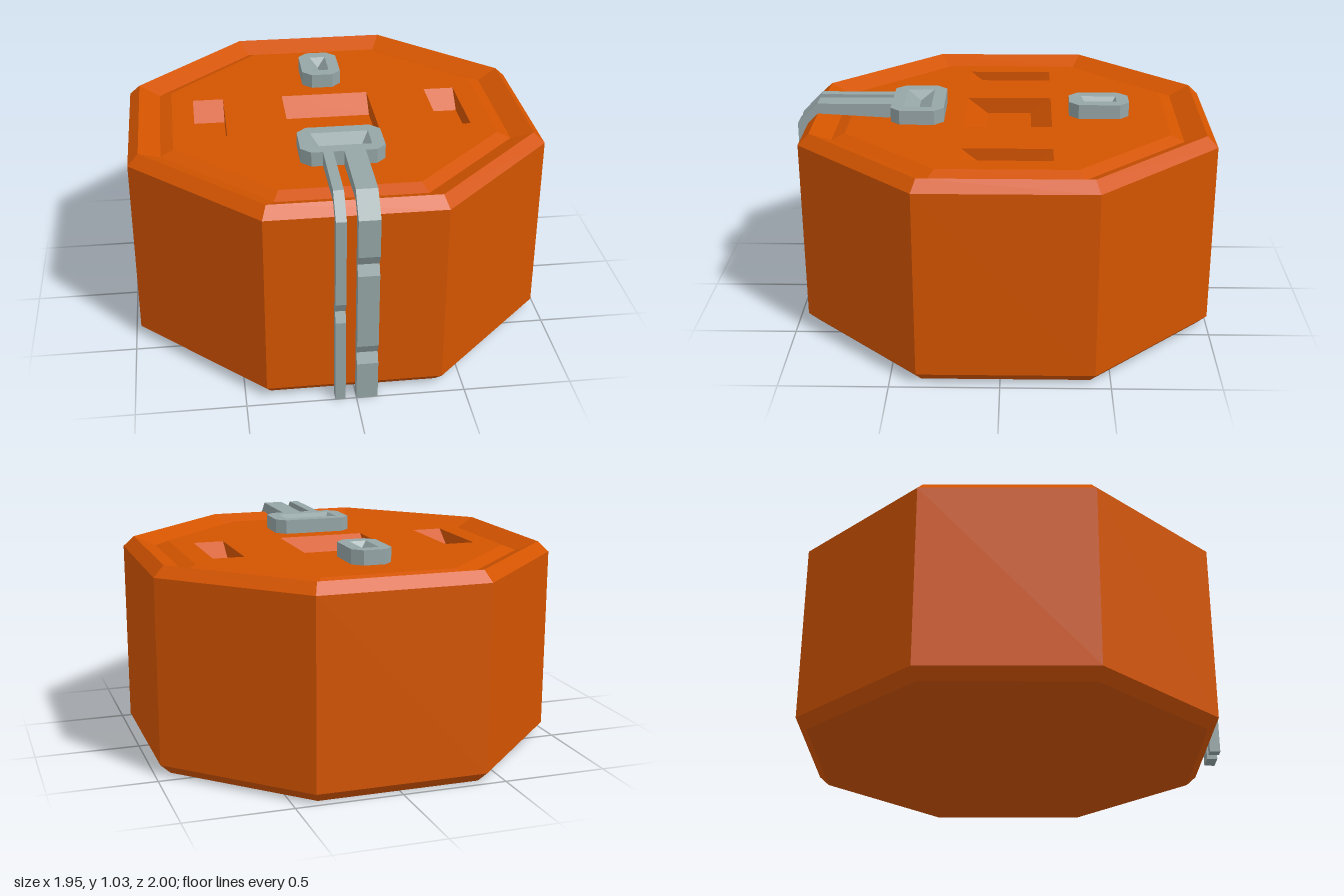
import * as THREE from 'three';

const PANEL_Y = 0.96, TOP_Y = 1.03, CENTER_Z = -0.025;
const SEC = 1 / Math.cos(Math.PI / 8);

// Flat-shaded surface from a list of planar polygons
function faces(polygons) {
  const pos = [];
  for (const p of polygons)
    for (let i = 1; i < p.length - 1; i++) pos.push(...p[0], ...p[i], ...p[i + 1]);
  const g = new THREE.BufferGeometry();
  g.setAttribute('position', new THREE.Float32BufferAttribute(pos, 3));
  g.computeVertexNormals();
  return g;
}

const points = (list) => list.map(([x, y]) => new THREE.Vector2(x, y));
const rect = (cx, hx, hy) => new THREE.Path(points([[cx - hx, -hy], [cx - hx, hy], [cx + hx, hy], [cx + hx, -hy]]));

export function createModel() {
  const model = new THREE.Group();
  const orange = new THREE.MeshStandardMaterial({ color: 0xd35400 });
  orange.name = 'orange';
  const grey = new THREE.MeshStandardMaterial({ color: 0x95a5a6 });
  grey.name = 'grey';
  const add = (name, geometry, material, x = 0, y = 0, z = 0) => {
    const m = new THREE.Mesh(geometry, material);
    m.name = name;
    m.position.set(x, y, z);
    model.add(m);
    return m;
  };

  // Octagonal body with chamfered edges and a groove around the lid
  const profile = [[0, 0], [0.925, 0], [0.975, 0.05], [0.975, 0.93], [0.925, 0.98], [0.825, 0.935], [0.765, PANEL_Y]];
  const body = new THREE.LatheGeometry(points(profile.map(([r, y]) => [r * SEC, y])), 8, Math.PI / 8).toNonIndexed();
  body.computeVertexNormals();
  add('body', body, orange, 0, 0, CENTER_Z);

  // Lid panel with three openings
  const wells = [[-0.585, 0.075], [0, 0.215], [0.585, 0.075]];
  const lid = new THREE.Shape(points(Array.from({ length: 8 }, (_, i) => {
    const a = (i + 0.5) * Math.PI / 4;
    return [0.765 * SEC * Math.cos(a), 0.765 * SEC * Math.sin(a)];
  })));
  for (const [cx, hx] of wells) lid.holes.push(rect(cx, hx, 0.21));
  add('lidPanel', new THREE.ShapeGeometry(lid).rotateX(-Math.PI / 2), orange, 0, PANEL_Y, CENTER_Z);

  // Sunken wells with sloped ends
  for (const [cx, w] of wells) {
    const d = -0.08;
    const side = (x) => [[x, 0, -0.21], [x, 0, 0.21], [x, d, 0.11], [x, d, -0.11]];
    const L = side(-w), R = side(w);
    const well = faces([
      L, [...R].reverse(),
      [L[0], L[3], R[3], R[0]], [L[3], L[2], R[2], R[3]], [L[2], L[1], R[1], R[2]],
    ]);
    add('lidWell', well, orange, cx, PANEL_Y, CENTER_Z);
  }

  // Chamfered plate with a V-shaped recess
  function plate(name, hx, hz, px, pz, ridge, z, turn) {
    const c = 0.045, group = new THREE.Group();
    const outline = new THREE.Shape(points([
      [-hx + c, -hz], [hx - c, -hz], [hx, -hz + c], [hx, hz - c],
      [hx - c, hz], [-hx + c, hz], [-hx, hz - c], [-hx, -hz + c],
    ]));
    outline.holes.push(rect(0, px, pz));
    const h = TOP_Y - PANEL_Y;
    const block = new THREE.ExtrudeGeometry(outline, { depth: h, bevelEnabled: false }).rotateX(-Math.PI / 2);
    const A = [-px, h, -pz], B = [px, h, -pz], C = [px, h, pz], D = [-px, h, pz];
    const E = [-ridge, h - 0.045, 0], F = [ridge, h - 0.045, 0];
    const pit = faces([[A, E, F, B], [C, F, E, D], [D, E, A], [B, F, C]]);
    for (const [part, g] of [['Block', block], ['Recess', pit]]) {
      const m = new THREE.Mesh(g, grey);
      m.name = name + part;
      group.add(m);
    }
    group.name = name;
    group.position.set(0, PANEL_Y, z);
    group.rotation.y = turn;
    model.add(group);
  }
  plate('frontBuckle', 0.195, 0.128, 0.135, 0.067, 0.095, 0.412, 0);
  plate('rearPlate', 0.145, 0.097, 0.085, 0.04, 0.052, -0.465, Math.PI / 2);

  // Straps running over the rim and down the front, with V notches
  function strap(name, x0, x1, notches) {
    const outline = [[0.54, PANEL_Y], [0.9, 0.98], [0.95, 0.93], [0.95, 0], [1, 0]];
    for (const y of notches) outline.push([1, y - 0.048], [0.975, y], [1, y + 0.048]);
    outline.push([1, 0.93], [0.9, TOP_Y], [0.54, TOP_Y]);
    const g = new THREE.ExtrudeGeometry(new THREE.Shape(points(outline)), { depth: x1 - x0, bevelEnabled: false });
    add(name, g.rotateY(-Math.PI / 2), grey, x1);
  }
  strap('wideStrap', 0, 0.097, [0.235, 0.7]);
  strap('narrowStrap', -0.097, -0.05, [0.465]);

  return model;
}
